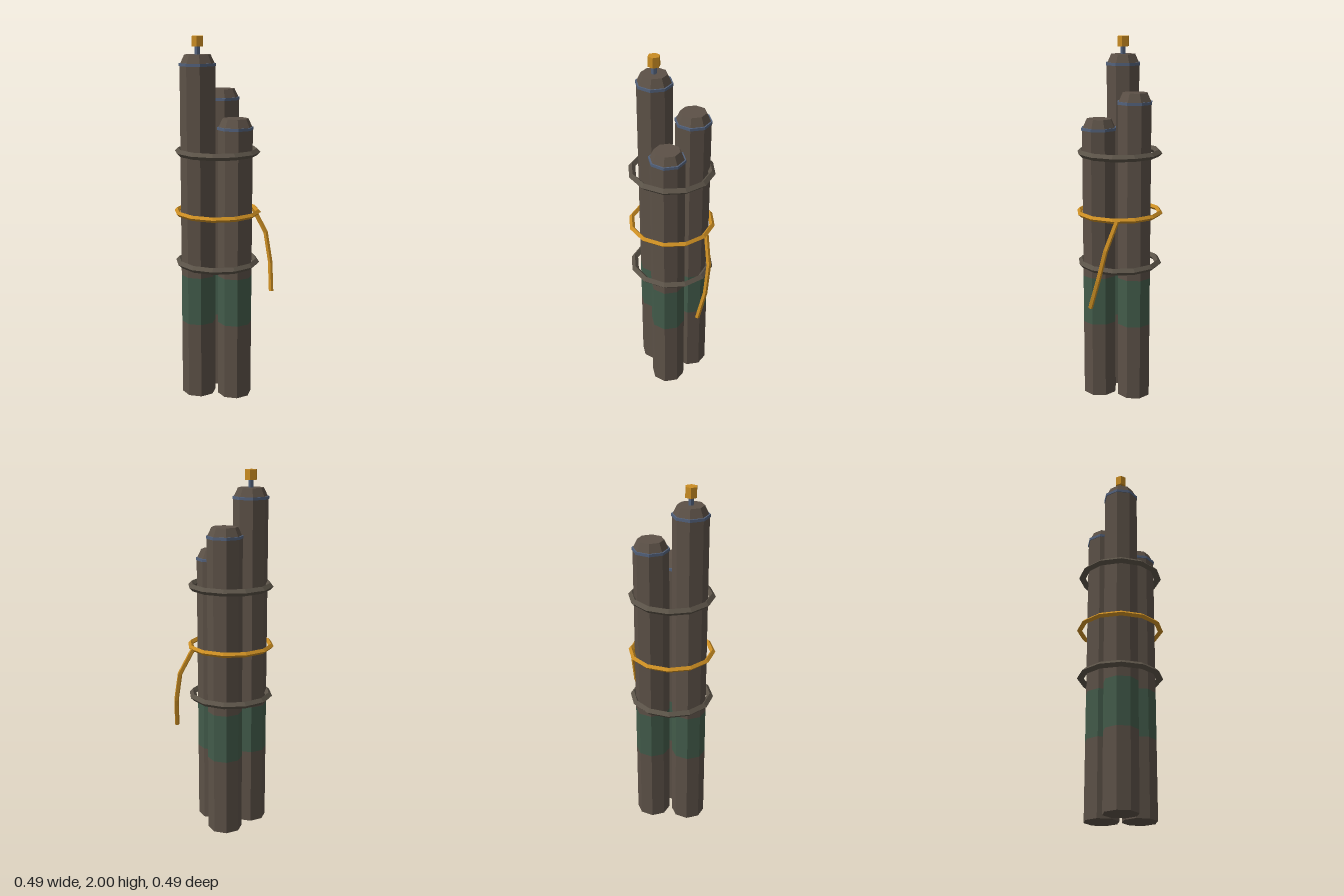
import * as THREE from 'three';

export function createModel() {
  const model = new THREE.Group();
  model.name = 'cylinderBundle';

  const mat = (name, color) => {
    const m = new THREE.MeshStandardMaterial({ color, flatShading: true });
    m.name = name;
    return m;
  };
  const brown = mat('brownSteel', 0x5c5147);
  const grey = mat('greyStrap', 0x5a5247);
  const green = mat('greenBand', 0x425b4a);
  const blue = mat('blueCollar', 0x53627c);
  const amber = mat('amberHose', 0xc98c22);

  const add = (parent, name, geometry, material, x = 0, y = 0, z = 0) => {
    const mesh = new THREE.Mesh(geometry, material);
    mesh.name = name;
    mesh.position.set(x, y, z);
    parent.add(mesh);
    return mesh;
  };
  // Upright prism between two heights
  const prism = (parent, name, material, rTop, rBottom, y0, y1, sides = 8, open = false) =>
    add(parent, name, new THREE.CylinderGeometry(rTop, rBottom, y1 - y0, sides, 1, open),
      material, 0, (y0 + y1) / 2, 0);

  // Three tall octagonal bottles with a painted band, collar and sloped shoulder
  const R = 0.095;
  const makeBottle = (name, x, z, height) => {
    const bottle = new THREE.Group();
    bottle.name = name;
    bottle.position.set(x, 0, z);
    prism(bottle, 'lowerBody', brown, R, R, 0, 0.43);
    prism(bottle, 'paintedBand', green, R, R, 0.43, 0.7, 8, true);
    prism(bottle, 'upperBody', brown, R, R, 0.7, height);
    prism(bottle, 'collar', blue, 0.099, 0.099, height - 0.007, height + 0.008);
    prism(bottle, 'shoulder', brown, 0.07, R, height, height + 0.053);
    model.add(bottle);
    return bottle;
  };
  const tall = makeBottle('tallBottle', -0.108, -0.064, 1.852);
  makeBottle('mediumBottle', 0.097, -0.054, 1.662);
  makeBottle('shortBottle', -0.008, 0.112, 1.519);

  // Valve on the tallest bottle
  prism(tall, 'valveNeck', blue, 0.015, 0.015, 1.9, 1.95, 6);
  prism(tall, 'valveKnob', amber, 0.033, 0.033, 1.945, 2, 6);

  // Twelve-sided hoops around the bundle
  const hoop = (name, material, radius, tube, y) => {
    const g = new THREE.TorusGeometry(radius, tube, 4, 12).rotateX(Math.PI / 2);
    add(model, name, g, material, -0.008, y, -0.007);
  };
  hoop('upperStrap', grey, 0.216, 0.019, 1.385);
  hoop('lowerStrap', grey, 0.216, 0.019, 0.765);
  hoop('hoseLoop', amber, 0.226, 0.0145, 1.052);

  // Loose hose end hanging from the loop
  const path = new THREE.CatmullRomCurve3([
    new THREE.Vector3(0.2, 1.052, 0.085),
    new THREE.Vector3(0.228, 0.91, 0.157),
    new THREE.Vector3(0.218, 0.735, 0.2),
    new THREE.Vector3(0.183, 0.58, 0.231),
  ]);
  add(model, 'hoseTail', new THREE.TubeGeometry(path, 3, 0.0135, 5), amber);
  for (const [t, s] of [[0, -1], [1, 1]]) {
    const p = path.getPointAt(t);
    const cap = add(model, 'hoseCap', new THREE.CircleGeometry(0.0125, 5), amber, p.x, p.y, p.z);
    cap.lookAt(p.clone().addScaledVector(path.getTangentAt(t), s));
  }

  return model;
}
